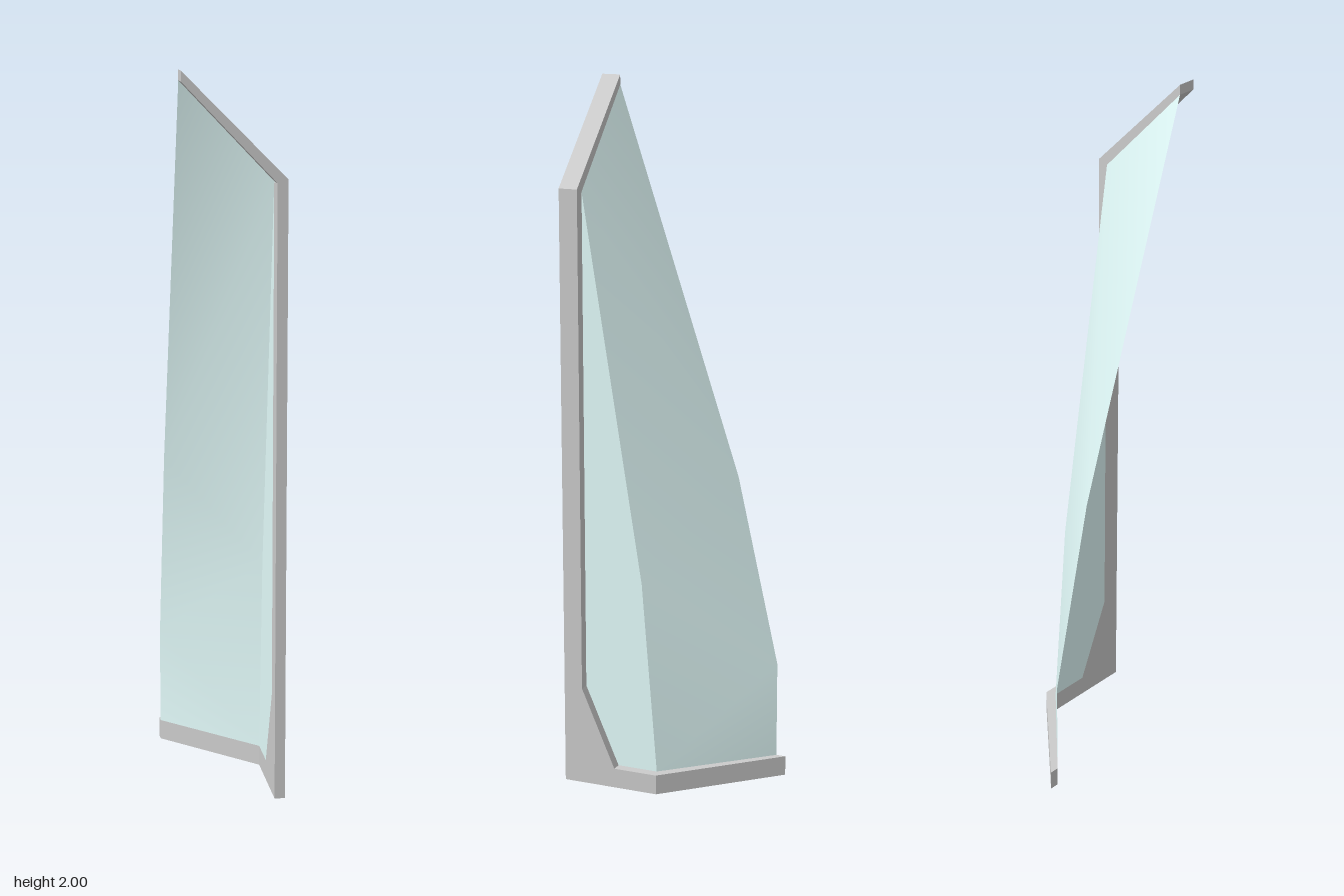
import * as THREE from 'three';

const frameMat = new THREE.MeshStandardMaterial({ color: 0xcccccc });
const glassMat = new THREE.MeshStandardMaterial({ color: 0xe4fdfc, side: THREE.DoubleSide });

const X = 0.142, INNER = 0.113, FRONT = 0.285, FACE = 0.23, SILL = 0.057;

const shapeOf = (points) => new THREE.Shape(points.map(([x, y]) => new THREE.Vector2(x, y)));
const extrude = (points, depth) =>
  new THREE.ExtrudeGeometry(shapeOf(points), { depth, bevelEnabled: false });

export function createModel() {
  const model = new THREE.Group();
  const add = (name, geometry, material) => {
    const mesh = new THREE.Mesh(geometry, material);
    mesh.name = name;
    model.add(mesh);
  };

  // Upright post with its sloping head rail, drawn in x and y
  const post = extrude([
    [X, 0], [X, 1.715], [-X, 2], [-X, 1.972], [INNER, 1.705], [INNER, 0],
  ], FRONT - FACE);
  add('postAndHeadRail', post.translate(0, 0, FACE), frameMat);

  // Sill bent round the corner, drawn in plan as x and z
  const plan = [
    [X, FACE], [X, 0], [-X, -0.285], [-X, -0.257], [INNER, 0.01], [INNER, FACE],
  ].map(([x, z]) => [x, -z]);
  add('sill', extrude(plan, SILL).rotateX(-Math.PI / 2), frameMat);

  // Corner brace between post and sill, drawn in z and y
  const brace = extrude([[-FACE, SILL], [-0.13, SILL], [-FACE, 0.285]], X - INNER);
  add('cornerBrace', brace.rotateY(Math.PI / 2).translate(INNER, 0, 0), frameMat);

  // Flat side pane
  const rightEdge = [[FACE, 1.705], [0.055, 0.61], [0.01, SILL]];
  const side = [[FACE, 0.285], [0.13, SILL], ...rightEdge.slice().reverse()]
    .map(([z, y]) => [-z, y]);
  const pane = new THREE.ShapeGeometry(shapeOf(side));
  add('sidePane', pane.rotateY(Math.PI / 2).translate(INNER, 0, 0), glassMat);

  // Twisted rear pane stretched between two bent edges
  const leftEdge = [[FACE, 1.972], [-0.133, 0.88], [-0.257, 0.335], [-0.257, SILL]];
  const corners = [
    ...leftEdge.map(([z, y]) => [-X, y, z]),
    ...rightEdge.map(([z, y]) => [INNER, y, z]),
  ];
  const rear = new THREE.BufferGeometry();
  rear.setAttribute('position', new THREE.Float32BufferAttribute(corners.flat(), 3));
  rear.setIndex([0, 4, 1, 1, 4, 5, 1, 5, 2, 2, 5, 6, 2, 6, 3]);
  rear.computeVertexNormals();
  add('rearPane', rear, glassMat);

  return model;
}
